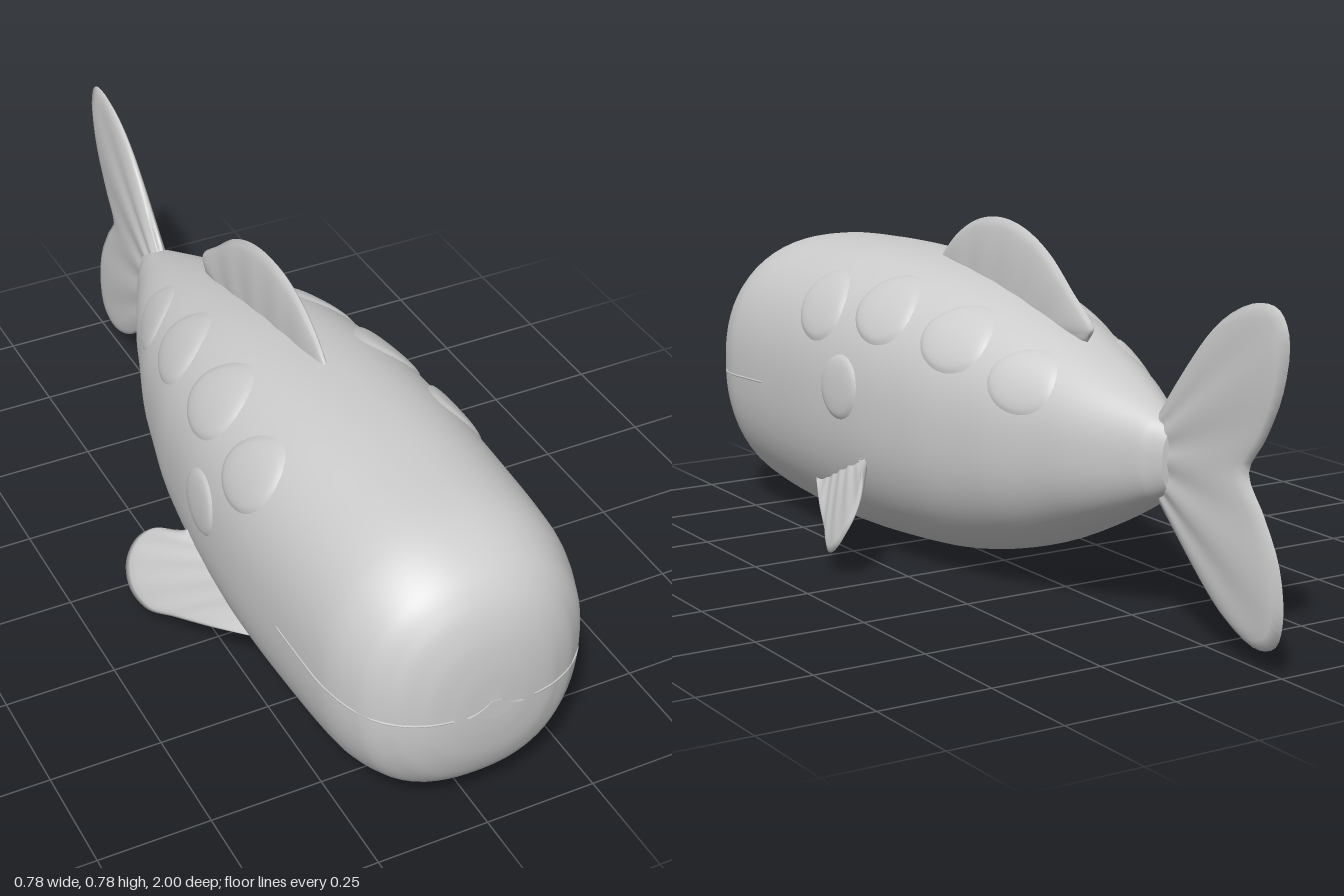
import * as THREE from 'three';
import { mergeVertices } from 'three/addons/utils/BufferGeometryUtils.js';

const V = (x, y, z) => new THREE.Vector3(x, y, z);
const skin = new THREE.MeshStandardMaterial({ color: 0xcccccc, side: THREE.DoubleSide });
skin.name = 'plain grey';

// Smooth surface from a rule fn(u, v), seams welded
function surface(fn, nu, nv) {
  const pos = [], index = [];
  for (let i = 0; i <= nu; i++)
    for (let j = 0; j <= nv; j++) pos.push(...fn(i / nu, j / nv).toArray());
  for (let i = 0; i < nu; i++)
    for (let j = 0; j < nv; j++) {
      const a = i * (nv + 1) + j, b = a + nv + 1;
      index.push(a, b, b + 1, a, b + 1, a + 1);
    }
  let g = new THREE.BufferGeometry();
  g.setAttribute('position', new THREE.Float32BufferAttribute(pos, 3));
  g.setIndex(index);
  g = mergeVertices(g, 1e-5);
  g.computeVertexNormals();
  return g;
}

// Body stations: z, top, bottom, half width
const stations = [
  [1, 0.336, 0.334, 0.001], [0.995, 0.425, 0.24, 0.085], [0.98, 0.5, 0.165, 0.15],
  [0.95, 0.56, 0.105, 0.205], [0.9, 0.608, 0.06, 0.25], [0.8, 0.65, 0.025, 0.28],
  [0.6, 0.668, 0.006, 0.29], [0.4, 0.672, 0.003, 0.294], [0.2, 0.663, 0.014, 0.286],
  [0, 0.638, 0.035, 0.262], [-0.2, 0.592, 0.085, 0.217], [-0.4, 0.53, 0.168, 0.15],
  [-0.6, 0.452, 0.268, 0.062], [-0.65, 0.428, 0.296, 0.036],
];
const heights = new THREE.CatmullRomCurve3(stations.map(s => V(s[0], s[1], s[2])), false, 'centripetal');
const widths = new THREE.CatmullRomCurve3(stations.map(s => V(s[0], s[3], 0)), false, 'catmullrom', 0.4);
const POWER = 2.35;

function section(t) {
  const h = heights.getPoint(t);
  return { z: h.x, c: (h.y + h.z) / 2, b: (h.y - h.z) / 2, w: Math.max(widths.getPoint(t).y, 0.001) };
}

function sectionAt(z) {
  let lo = 0, hi = 1;
  for (let i = 0; i < 30; i++) {
    const m = (lo + hi) / 2;
    if (heights.getPoint(m).x > z) lo = m; else hi = m;
  }
  return section(lo);
}

// Point on the left flank at height y, pushed out by a factor
function flank(z, y, grow = 1) {
  const s = sectionAt(z);
  const k = Math.min(Math.abs((y - s.c) / s.b), 1);
  const x = s.w * Math.pow(1 - Math.pow(k, POWER), 1 / POWER);
  return V(x * grow, s.c + (y - s.c) * grow, z);
}

function bodyPoint(u, v) {
  const s = section(u), a = v * Math.PI * 2;
  const co = Math.cos(a), si = Math.sin(a);
  const r = Math.pow(Math.pow(Math.abs(co), POWER) + Math.pow(Math.abs(si), POWER), -1 / POWER);
  return V(s.w * co * r, s.c + s.b * si * r, s.z);
}

// Lens-section fin between a root line and a curved outer edge
function fin(rootA, rootB, edge, normal, half, round = 0.5, ripple = 0) {
  const curve = new THREE.CatmullRomCurve3(edge, false, 'centripetal');
  return surface((u, v) => {
    const s = Math.abs(2 * v - 1), side = v < 0.5 ? 1 : -1;
    const d = 1 - s; // span from root (0) to edge (1) and back on the other face
    const p = rootA.clone().lerp(rootB, u).lerp(curve.getPoint(u), d);
    const wave = 1 + ripple * Math.cos(u * Math.PI * 12);
    const t = half * Math.sqrt(Math.max(0, 1 - d * d)) * Math.pow(Math.max(0, Math.sin(Math.PI * u)), round) * wave;
    return p.addScaledVector(normal, side * t);
  }, 56, 32);
}

export function createModel() {
  const model = new THREE.Group();
  model.name = 'whale';
  const add = (name, geometry, parent = model) => {
    const m = new THREE.Mesh(geometry, skin);
    m.name = name;
    parent.add(m);
    return m;
  };

  // Body and its blunt tail end
  add('body', surface(bodyPoint, 104, 72));
  add('tailStump', surface((u, v) => {
    const p = bodyPoint(1, v), c = sectionAt(-0.65).c;
    return V(p.x * (1 - u), c + (p.y - c) * (1 - u), p.z - 0.006 * u);
  }, 4, 48));

  // Fins on the centre line
  add('dorsalFin', fin(V(0, 0.645, 0.27), V(0, 0.555, -0.33), [
    V(0, 0.66, 0.27), V(0, 0.715, 0.21), V(0, 0.762, 0.12), V(0, 0.78, 0.02), V(0, 0.768, -0.08),
    V(0, 0.725, -0.18), V(0, 0.655, -0.27), V(0, 0.585, -0.35), V(0, 0.565, -0.335),
  ], V(1, 0, 0), 0.022, 0.4, 0.05));
  add('tailFin', fin(V(0, 0.44, -0.585), V(0, 0.28, -0.585), [
    V(0, 0.45, -0.6), V(0, 0.57, -0.69), V(0, 0.67, -0.79), V(0, 0.72, -0.9), V(0, 0.715, -0.97),
    V(0, 0.665, -1), V(0, 0.56, -0.985), V(0, 0.46, -0.935), V(0, 0.385, -0.885), V(0, 0.31, -0.935),
    V(0, 0.22, -0.985), V(0, 0.12, -1), V(0, 0.06, -0.98), V(0, 0.04, -0.92), V(0, 0.075, -0.82),
    V(0, 0.165, -0.71), V(0, 0.265, -0.6),
  ], V(1, 0, 0), 0.024, 0.5, 0.1));

  // Parts of one flank: flipper, raised spots, mouth line
  const flipper = fin(V(0.23, 0.145, 0.42), V(0.26, 0.24, 0.15), [
    V(0.25, 0.145, 0.43), V(0.3, 0.105, 0.32), V(0.34, 0.07, 0.22), V(0.375, 0.046, 0.14),
    V(0.388, 0.065, 0.08), V(0.38, 0.11, 0.045), V(0.355, 0.16, 0.04), V(0.325, 0.205, 0.07),
    V(0.29, 0.245, 0.15),
  ], V(0.75, 0.6, 0.28).normalize(), 0.016, 0.5, 0.08);

  const spots = [
    [0.395, 0.55, 0.095, 0.075], [0.16, 0.57, 0.1, 0.07], [-0.09, 0.54, 0.094, 0.066],
    [-0.305, 0.48, 0.082, 0.064], [0.245, 0.39, 0.075, 0.075],
  ].map(([z, y, rz, ry]) => surface((u, v) => {
    const a = v * Math.PI * 2;
    const grow = 0.995 + 0.03 * Math.sqrt(1 - Math.pow(u, 4));
    // slanted ellipse follows the falling back line
    const dz = rz * u * Math.cos(a), dy = ry * u * Math.sin(a);
    return flank(z + dz, y + dy + (y > 0.4 ? 0.15 * dz : 0), grow);
  }, 10, 40));

  const linePoints = [0.994, 0.985, 0.965, 0.93, 0.88, 0.8, 0.71, 0.62]
    .map(z => flank(z, 0.313 + (0.994 - z) * 0.064));
  const mouthLine = new THREE.TubeGeometry(new THREE.CatmullRomCurve3(linePoints), 60, 0.0025, 6);

  for (const side of [1, -1]) {
    const flank = new THREE.Group();
    flank.name = side > 0 ? 'leftSide' : 'rightSide';
    flank.scale.x = side;
    add('flipper', flipper, flank);
    spots.forEach(g => add('spot', g, flank));
    add('mouthLine', mouthLine, flank);
    model.add(flank);
  }

  // Small diamond lips at the nose
  const lips = new THREE.Shape();
  lips.moveTo(-0.062, 0.314);
  lips.quadraticCurveTo(-0.03, 0.318, -0.012, 0.338);
  lips.lineTo(0.012, 0.338);
  lips.quadraticCurveTo(0.03, 0.318, 0.062, 0.314);
  lips.quadraticCurveTo(0.025, 0.305, 0, 0.29);
  lips.quadraticCurveTo(-0.025, 0.305, -0.062, 0.314);
  add('lips', new THREE.ExtrudeGeometry(lips, { depth: 0.008, bevelEnabled: false })).position.z = 0.993;

  return model;
}
